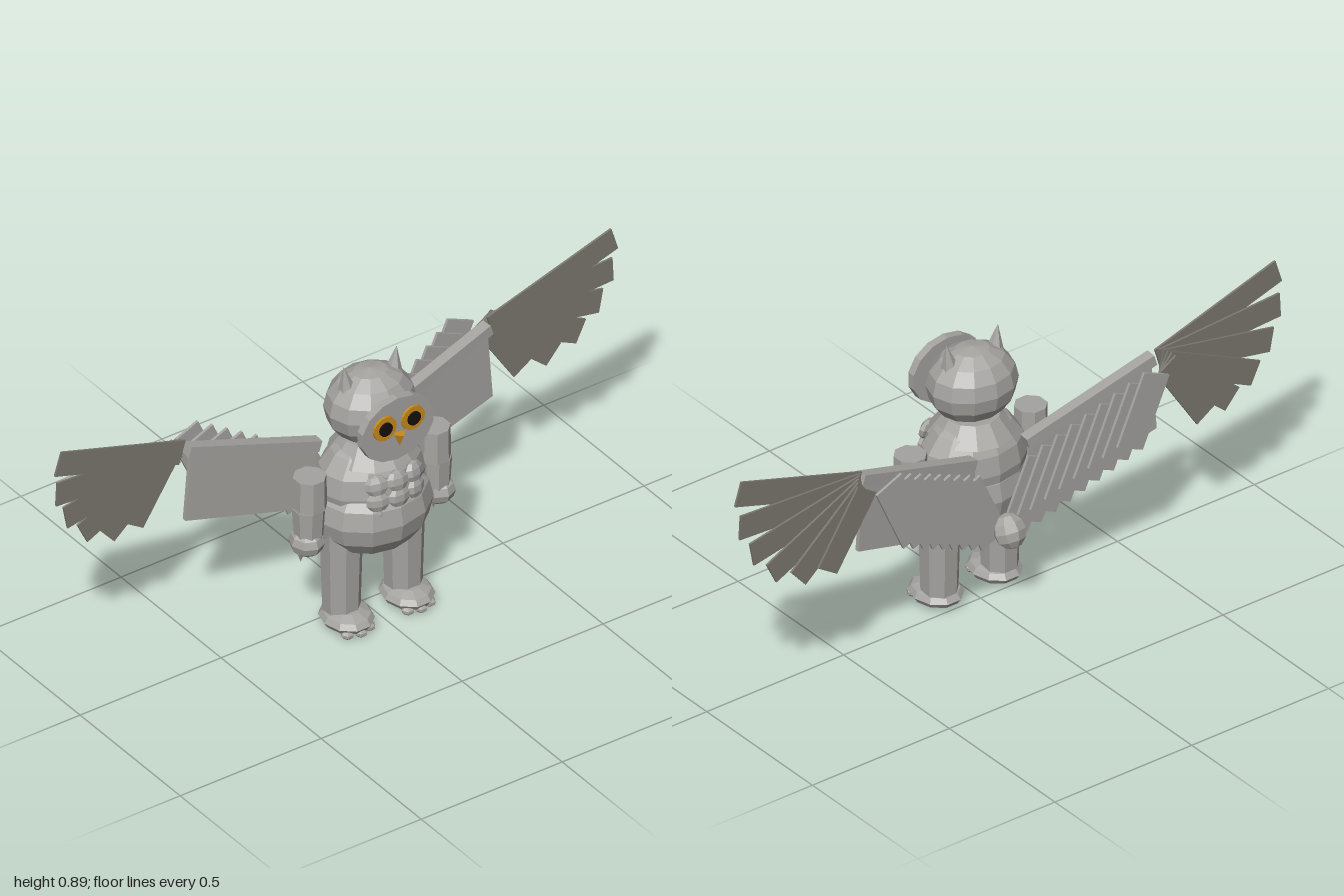
import * as THREE from 'three';

const mat = (name, color) => {
  const m = new THREE.MeshStandardMaterial({ color, flatShading: true });
  m.name = name;
  return m;
};

export function createModel() {
  const grey = mat('plumage grey', 0xa5a3a0);
  const dark = mat('dark feather grey', 0x7b786f);
  const orange = mat('amber', 0xc98a1c);
  const black = mat('pupil black', 0x17100a);

  const root = new THREE.Group();
  root.name = 'owl';

  const add = (name, geo, material, x, y, z, rx = 0, ry = 0, rz = 0) => {
    const m = new THREE.Mesh(geo, material);
    m.name = name;
    m.position.set(x, y, z);
    m.rotation.set(rx, ry, rz);
    root.add(m);
    return m;
  };
  const ball = (rx, ry, rz, w = 10, h = 7) =>
    new THREE.SphereGeometry(1, w, h).scale(rx, ry, rz);
  // disc facing the front
  const disc = (r, depth, sides = 16) =>
    new THREE.CylinderGeometry(r, r, depth, sides).rotateX(Math.PI / 2);
  // faceted limb section, given its bottom and top heights
  const limb = (name, rTop, rBottom, y0, y1, x, z) =>
    add(name, new THREE.CylinderGeometry(rTop, rBottom, y1 - y0, 8), grey, x, (y0 + y1) / 2, z, 0, Math.PI / 8);

  // Body
  add('chest', ball(0.175, 0.16, 0.133, 12, 8), grey, 0, 0.475, 0.038);
  add('belly', ball(0.188, 0.15, 0.155, 12, 8), grey, 0, 0.385, 0.052);
  add('neck', new THREE.CylinderGeometry(0.085, 0.13, 0.06, 12), grey, 0, 0.595, 0.042);
  add('tail', ball(0.052, 0.055, 0.045, 8, 6), grey, 0, 0.305, -0.138, 0.4);

  // Chest feathers in three rows of three
  for (let r = 0; r < 3; r++) {
    for (let c = -1; c <= 1; c++) {
      add('chestFeather', ball(0.037, 0.034, 0.018, 7, 5), grey,
        c * 0.066, 0.53 - r * 0.052, 0.178 - Math.abs(c) * 0.012 + (r === 1 ? 0.007 : 0),
        -0.25 + r * 0.15, c * 0.3, 0);
    }
  }

  // Head and face
  add('head', ball(0.143, 0.12, 0.122, 12, 8), grey, 0, 0.73, 0.04);
  add('faceDisc', disc(0.107, 0.026, 14).scale(1.2, 1, 1), grey, 0, 0.713, 0.167);
  add('beak', new THREE.ConeGeometry(0.02, 0.045, 4), orange, 0, 0.68, 0.189, Math.PI);

  for (const s of [1, -1]) {
    add('eye', disc(0.04, 0.008), orange, s * 0.05, 0.735, 0.184);
    add('pupil', disc(0.023, 0.006, 12), black, s * 0.05, 0.735, 0.19);
    add('earTuft', new THREE.ConeGeometry(0.028, 0.085, 6), grey, s * 0.088, 0.847, 0.04, 0, 0, -s * 0.15);

    // Arm, hand and claws
    limb('upperArm', 0.05, 0.052, 0.455, 0.56, s * 0.22, 0.048);
    limb('forearm', 0.05, 0.044, 0.35, 0.455, s * 0.225, 0.05);
    add('hand', ball(0.052, 0.046, 0.058, 8, 6), grey, s * 0.232, 0.338, 0.05);
    for (let i = -1; i <= 1; i++) {
      add('handClaw', new THREE.ConeGeometry(0.011, 0.03, 5), grey, s * 0.235 + i * 0.025, 0.296, 0.06, Math.PI);
    }

    // Leg, foot and toes
    limb('leg', 0.065, 0.057, 0.05, 0.34, s * 0.11, 0.052);
    add('foot', ball(0.078, 0.033, 0.092, 10, 6), grey, s * 0.107, 0.038, 0.073);
    for (let i = -1; i <= 1; i++) {
      add('toe', ball(0.02, 0.014, 0.022, 6, 5), grey, s * 0.107 + i * 0.038, 0.018, 0.143 - Math.abs(i) * 0.012);
    }

    // Wing panel, swept slightly backward toward the tip
    const shape = new THREE.Shape([[0.1, 0.55], [0.525, 0.685], [0.545, 0.44], [0.1, 0.32]]
      .map(([x, y]) => new THREE.Vector2(s * x, y)));
    const panel = new THREE.ExtrudeGeometry(shape, { depth: 0.014, bevelEnabled: false });
    const p = panel.attributes.position;
    for (let i = 0; i < p.count; i++) p.setZ(i, p.getZ(i) - 0.098 - 0.055 * Math.abs(p.getX(i)));
    panel.computeVertexNormals();
    add('wingPanel', panel, grey, 0, 0, 0);

    // Leading wing bone
    add('wingBone', new THREE.BoxGeometry(0.46, 0.036, 0.036), grey,
      s * 0.315, 0.615, -0.104, 0, s * 0.08, s * 0.3);

    // Overlapping covert feathers on the back of the wing
    const n = 9;
    for (let i = 0; i < n; i++) {
      const t = i / (n - 1);
      add('covertFeather', new THREE.BoxGeometry(0.1, 0.24, 0.009), grey,
        s * (0.085 + 0.355 * t), 0.385 + 0.19 * t, -0.11 - 0.088 * t, 0, 0, -s * 0.42);
    }

    // Fan of flight feathers: angle in degrees, length
    [[17, 0.46], [3, 0.44], [-11, 0.41], [-26, 0.375], [-41, 0.325], [-57, 0.265]].forEach(([deg, len], i) => {
      const a = deg * Math.PI / 180;
      add('flightFeather', new THREE.BoxGeometry(len, 0.08, 0.007), dark,
        s * (0.547 + Math.cos(a) * len / 2), 0.675 + Math.sin(a) * len / 2, -0.13 - i * 0.008, 0, 0, s * a);
    });
  }
  return root;
}
